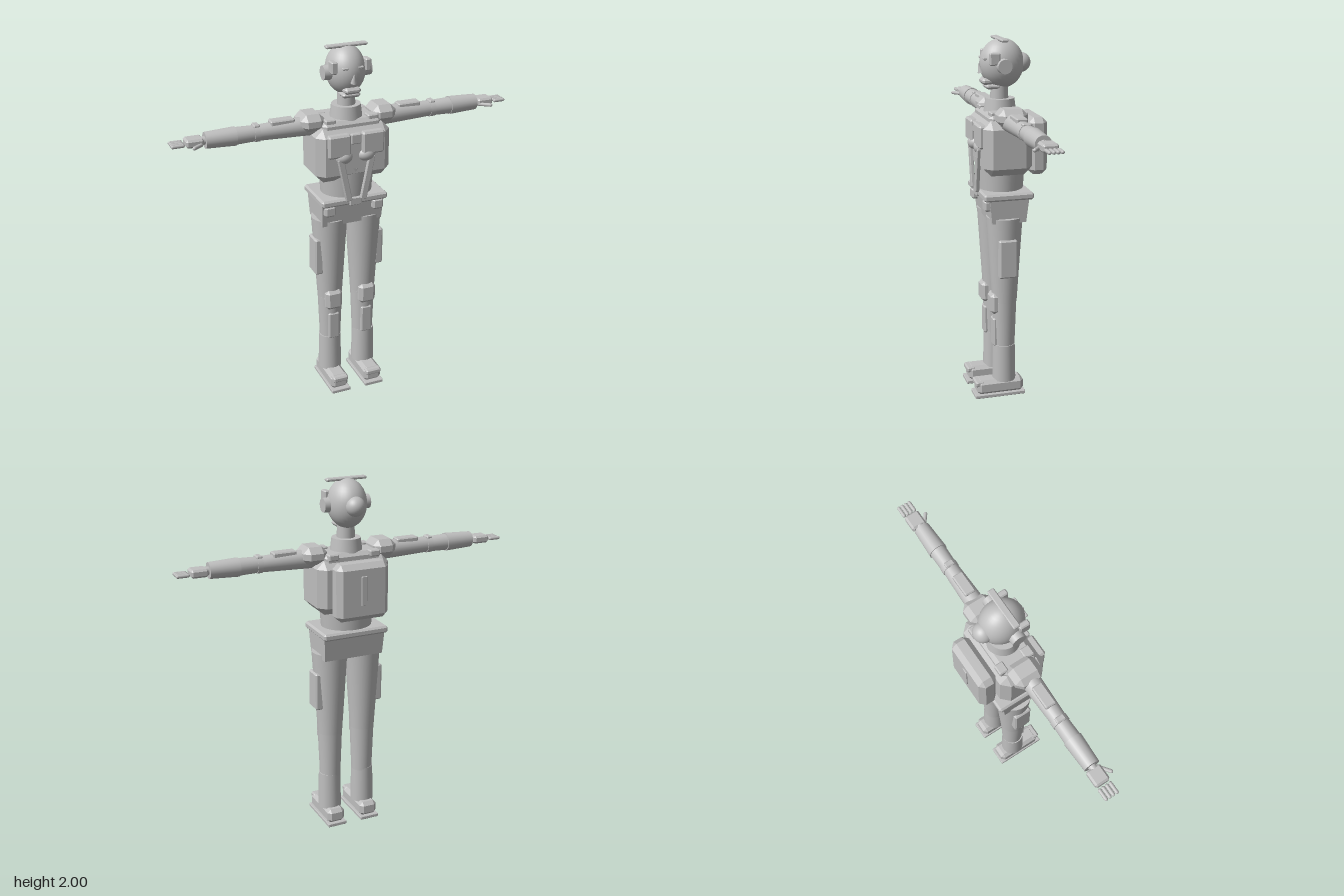
import * as THREE from 'three';
import { ConvexGeometry } from 'three/addons/geometries/ConvexGeometry.js';

const grey = new THREE.MeshStandardMaterial({ color: 0xbfbfbf });
grey.name = 'plain grey';

// Box with chamfered edges and corners
function chamferBox(w, h, d, b) {
  const pts = [];
  for (const i of [-1, 1]) for (const j of [-1, 1]) for (const k of [-1, 1]) {
    const x = w / 2, y = h / 2, z = d / 2;
    pts.push(new THREE.Vector3(i * x, j * (y - b), k * (z - b)));
    pts.push(new THREE.Vector3(i * (x - b), j * y, k * (z - b)));
    pts.push(new THREE.Vector3(i * (x - b), j * (y - b), k * z));
  }
  return new ConvexGeometry(pts);
}

export function createModel() {
  const model = new THREE.Group();
  model.name = 'figure';

  const add = (name, geo, x, y, z, parent = model) => {
    const m = new THREE.Mesh(geo, grey);
    m.name = name;
    m.position.set(x, y, z);
    parent.add(m);
    return m;
  };
  // Chamfered block given by its limits on each axis
  const block = (name, [x0, x1], [y0, y1], [z0, z1], b = 0.006, parent = model) =>
    add(name, chamferBox(Math.abs(x1 - x0), y1 - y0, z1 - z0, b),
      (x0 + x1) / 2, (y0 + y1) / 2, (z0 + z1) / 2, parent);
  // Upright tapered tube between two heights, with elliptical section
  const column = (name, x, z, y0, y1, r0, r1, sz = 1, parent = model) => {
    const m = add(name, new THREE.CylinderGeometry(r1, r0, y1 - y0, 32), x, (y0 + y1) / 2, z, parent);
    m.scale.z = sz;
    return m;
  };
  const ball = (name, x, y, z, rx, ry, rz) => {
    const m = add(name, new THREE.SphereGeometry(1, 32, 20), x, y, z);
    m.scale.set(rx, ry, rz);
    return m;
  };

  // Head
  ball('head', 0, 1.864, 0.015, 0.104, 0.132, 0.12);
  ball('hairBun', 0, 1.865, -0.09, 0.053, 0.053, 0.053);
  block('headBar', [-0.115, 0.115], [1.984, 2.0], [0.008, 0.045], 0.005);
  const nose = add('nose', new THREE.ConeGeometry(0.018, 0.055, 16), 0, 1.845, 0.135);
  nose.rotation.x = 0.25;
  block('mouth', [-0.045, 0.045], [1.756, 1.79], [0.06, 0.13], 0.012);
  block('chin', [-0.05, 0.05], [1.732, 1.758], [0.03, 0.11], 0.01);
  for (const s of [-1, 1]) {
    block('eye', [s * 0.025, s * 0.058], [1.888, 1.9], [0.1, 0.128], 0.003);
    block('templeLock', [s * 0.078, s * 0.11], [1.865, 1.93], [0.05, 0.107], 0.006);
    const ear = add('earDisc', new THREE.CylinderGeometry(0.038, 0.04, 0.045, 24), s * 0.11, 1.86, 0.03);
    ear.rotation.z = -s * Math.PI / 2;
  }

  // Neck and collar
  column('neck', 0, 0.028, 1.6, 1.77, 0.05, 0.047);
  column('collar', 0, 0.025, 1.59, 1.68, 0.09, 0.078);

  // Torso
  block('chest', [-0.21, 0.21], [1.29, 1.585], [-0.105, 0.16], 0.042);
  block('yoke', [-0.165, 0.165], [1.54, 1.615], [-0.075, 0.125], 0.02);
  column('waist', 0, 0.025, 1.17, 1.36, 0.14, 0.155, 0.88);
  block('backpack', [-0.15, 0.15], [1.275, 1.585], [-0.204, -0.1], 0.028);
  block('packSlit', [-0.017, 0.017], [1.36, 1.52], [-0.21, -0.195], 0.002);
  block('chestTag', [-0.028, 0.028], [1.5, 1.555], [0.14, 0.172], 0.005);
  for (const s of [-1, 1]) {
    block('chestPouch', [s * 0.033, s * 0.158], [1.435, 1.56], [0.13, 0.18], 0.01);
    ball('chestDome', s * 0.065, 1.43, 0.142, 0.052, 0.04, 0.046);
    const strap = add('frontStrap', chamferBox(0.035, 0.25, 0.022, 0.004), s * 0.065, 1.305, 0.167);
    strap.rotation.z = -s * 0.2;
    block('shoulderStrap', [s * 0.09, s * 0.15], [1.6, 1.628], [0.06, 0.115], 0.006);
    block('backStrap', [s * 0.09, s * 0.15], [1.585, 1.62], [-0.09, -0.04], 0.006);
  }

  // Belt and pelvis
  block('belt', [-0.19, 0.19], [1.152, 1.192], [-0.115, 0.16], 0.01);
  const hip = add('pelvis', new THREE.BoxGeometry(0.36, 0.14, 0.22), 0, 1.095, 0.02);
  const p = hip.geometry.attributes.position;
  for (let i = 0; i < p.count; i++) if (p.getY(i) < 0) {
    p.setX(i, p.getX(i) * 0.96);
    p.setZ(i, p.getZ(i) * 0.86);
  }
  hip.geometry.computeVertexNormals();
  block('buckle', [-0.035, 0.035], [1.15, 1.194], [0.15, 0.168], 0.004);

  for (const s of [-1, 1]) {
    block('beltPouch', [s * 0.108, s * 0.17], [1.095, 1.155], [0.1, 0.155], 0.01);

    // Leg
    const leg = new THREE.Group();
    leg.name = s > 0 ? 'leftLeg' : 'rightLeg';
    model.add(leg);
    column('thigh', s * 0.1, 0.028, 0.56, 1.05, 0.069, 0.1, 1, leg);
    column('shin', s * 0.1, 0.03, 0.29, 0.56, 0.059, 0.069, 1, leg);
    column('bootShaft', s * 0.103, 0.032, 0.09, 0.305, 0.066, 0.062, 1, leg);
    block('thighPanel', [s * 0.155, s * 0.203], [0.72, 0.935], [-0.02, 0.082], 0.008, leg);
    block('kneePad', [s * 0.052, s * 0.15], [0.495, 0.613], [0.06, 0.116], 0.018, leg);
    block('shinPad', [s * 0.067, s * 0.133], [0.3, 0.465], [0.06, 0.1], 0.008, leg);
    block('boot', [s * 0.05, s * 0.155], [0.015, 0.1], [-0.072, 0.195], 0.02, leg);
    block('toeStrap', [s * 0.057, s * 0.148], [0.065, 0.098], [0.155, 0.206], 0.008, leg);
    block('sole', [s * 0.046, s * 0.159], [0, 0.02], [-0.08, 0.21], 0.003, leg);

    // Arm
    const arm = new THREE.Group();
    arm.name = s > 0 ? 'leftArm' : 'rightArm';
    model.add(arm);
    const Y = 1.585, Z = 0.026;
    const limb = (name, x0, x1, r0, r1) => {
      const m = add(name, new THREE.CylinderGeometry(r1, r0, x1 - x0, 24), s * (x0 + x1) / 2, Y, Z, arm);
      m.rotation.z = -s * Math.PI / 2;
    };
    limb('upperArm', 0.17, 0.5, 0.054, 0.042);
    limb('elbow', 0.485, 0.515, 0.046, 0.046);
    limb('forearm', 0.5, 0.63, 0.042, 0.046);
    limb('cuff', 0.61, 0.77, 0.05, 0.043);
    limb('wrist', 0.76, 0.79, 0.022, 0.022);
    block('shoulderPad', [s * 0.135, s * 0.27], [1.56, 1.657], [-0.06, 0.1], 0.032, arm);
    block('armPlate', [s * 0.295, s * 0.425], [1.61, 1.642], [-0.005, 0.055], 0.006, arm);
    block('elbowPad', [s * 0.483, s * 0.517], [1.605, 1.635], [0, 0.052], 0.006, arm);

    // Hand
    block('palm', [s * 0.78, s * 0.872], [1.563, 1.606], [-0.02, 0.062], 0.01, arm);
    for (let i = 0; i < 4; i++) {
      const finger = add('finger', new THREE.CapsuleGeometry(0.0095, 0.052, 4, 10), s * 0.914, 1.582, -0.011 + i * 0.021, arm);
      finger.rotation.z = Math.PI / 2;
    }
    const thumb = add('thumb', new THREE.CapsuleGeometry(0.01, 0.055, 4, 10), s * 0.818, 1.575, 0.074, arm);
    thumb.rotation.set(0, -s * 0.65, Math.PI / 2);
  }
  return model;
}
